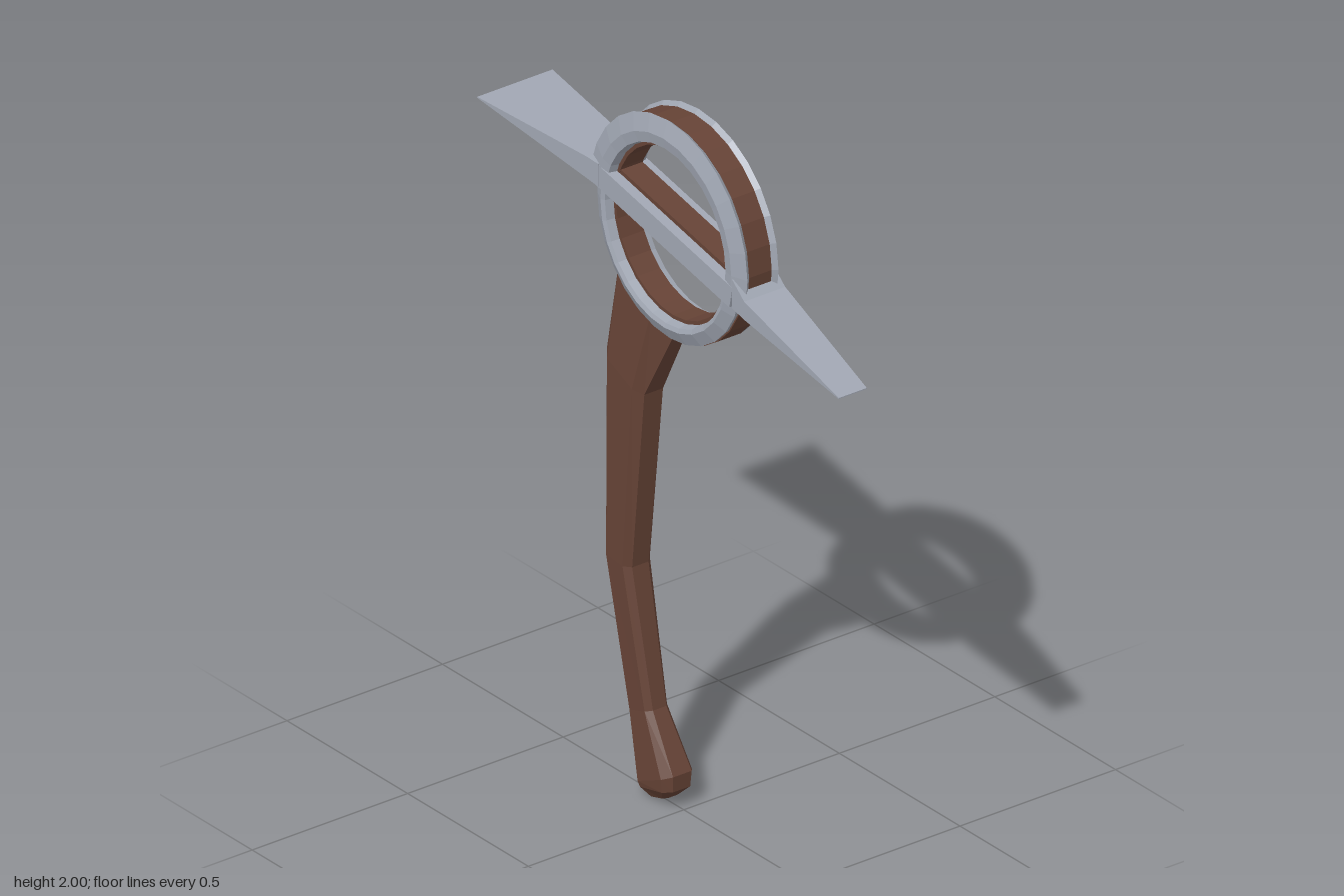
import * as THREE from 'three';

const CY = 1.67;                        // ring centre height
const TILT = -Math.atan2(0.305, 1.4);   // slope of crossbar and blades

// Facet a geometry so every face is flat
function flat(geo) {
  const g = geo.index ? geo.toNonIndexed() : geo;
  g.computeVertexNormals();
  return g;
}

// Skin a list of equal-length point loops and cap both ends
function loft(loops) {
  const n = loops[0].length, pos = loops.flat(2), idx = [];
  for (let s = 0; s < loops.length - 1; s++) {
    for (let i = 0; i < n; i++) {
      const a = s * n + i, b = s * n + (i + 1) % n, c = b + n, d = a + n;
      idx.push(a, d, c, a, c, b);
    }
  }
  const e = (loops.length - 1) * n;
  for (let i = 1; i < n - 1; i++) idx.push(0, i, i + 1, e, e + i + 1, e + i);
  const g = new THREE.BufferGeometry();
  g.setAttribute('position', new THREE.Float32BufferAttribute(pos, 3));
  g.setIndex(idx);
  return flat(g);
}

// Half ring around z from a closed (radius, z) profile, starting at an angle
function halfRing(profile, start) {
  const pts = [...profile, profile[0]].map(([r, z]) => new THREE.Vector2(r, z));
  const g = new THREE.LatheGeometry(pts, 14, start + Math.PI / 2, Math.PI);
  g.rotateX(Math.PI / 2);
  g.translate(0, CY, 0);
  return flat(g);
}

// Blade loop at x: flat top and bottom edges of half width w
function bladeLoop(x, top, bottom, w) {
  const k = Math.sign(x) * w;
  return [[x, top, k], [x, top, -k], [x, bottom, -k], [x, bottom, k]];
}

// Handle loop through four points across the width, chamfered at the sides
function handleLoop(pts, d) {
  const depth = [0.6 * d, d, d, 0.6 * d];
  const front = pts.map(([x, y], i) => [x, y, depth[i]]);
  return [...front, ...front.map(([x, y, z]) => [x, y, -z]).reverse()];
}

function handleSection(lx, ly, rx, ry, d) {
  const pts = [0, 0.17, 0.83, 1].map(t => [lx + (rx - lx) * t, ly + (ry - ly) * t]);
  return handleLoop(pts, d);
}

export function createModel() {
  const group = new THREE.Group();
  const wood = new THREE.MeshStandardMaterial({ color: 0x664336 });
  wood.name = 'brown wood';
  const steel = new THREE.MeshStandardMaterial({ color: 0xa0a6b2 });
  steel.name = 'grey steel';
  const add = (name, geo, mat) => {
    const m = new THREE.Mesh(geo, mat);
    m.name = name;
    group.add(m);
    return m;
  };

  // Handle: its top follows the underside of the ring
  const arc = [213, 232, 251, 270].map(deg => {
    const a = THREE.MathUtils.degToRad(deg);
    return [0.28 * Math.cos(a), CY + 0.28 * Math.sin(a)];
  });
  add('handle', loft([
    handleLoop(arc, 0.035),
    handleSection(-0.28, 1.22, -0.125, 1.15, 0.05),
    handleSection(-0.283, 0.64, -0.18, 0.63, 0.044),
    handleSection(-0.195, 0.22, -0.1, 0.25, 0.036),
    handleSection(-0.152, 0.035, -0.006, 0.1, 0.05),
    handleSection(-0.145, 0.025, -0.009, 0.055, 0.046),
    handleSection(-0.115, 0.0, -0.045, 0.02, 0.025),
  ]), wood);

  // Wooden core of the ring, wider in the upper half
  const core = r => [[0.235, -0.036], [r, -0.036], [r, 0.036], [0.235, 0.036]];
  add('upperCore', halfRing(core(0.318), TILT), wood);
  add('lowerCore', halfRing(core(0.3), TILT + Math.PI), wood);

  // Bevelled steel rims on both faces
  const upper = [[0.245, 0.035], [0.316, 0.035], [0.328, 0.05], [0.28, 0.065], [0.25, 0.06]];
  const lower = [[0.245, 0.035], [0.296, 0.035], [0.298, 0.047], [0.262, 0.065], [0.25, 0.06]];
  const mirror = p => p.map(([r, z]) => [r, -z]).reverse();
  add('upperRimFront', halfRing(upper, TILT), steel);
  add('upperRimBack', halfRing(mirror(upper), TILT), steel);
  add('lowerRimFront', halfRing(lower, TILT + Math.PI), steel);
  add('lowerRimBack', halfRing(mirror(lower), TILT + Math.PI), steel);

  // Crossbar: wooden core with a steel strip on each face
  const bar = (name, w, h, d, z, mat) => {
    const m = add(name, new THREE.BoxGeometry(w, h, d), mat);
    m.position.set(0, CY, z);
    m.rotation.z = TILT;
  };
  bar('crossbarCore', 0.5, 0.086, 0.07, 0, wood);
  bar('crossbarFront', 0.57, 0.062, 0.03, 0.05, steel);
  bar('crossbarBack', 0.57, 0.062, 0.03, -0.05, steel);

  // Blades: wedges thinning to a wide edge
  add('rightBlade', loft([
    bladeLoop(-0.27, 1.765, 1.7, 0.066),
    bladeLoop(-0.31, 1.77, 1.708, 0.07),
    bladeLoop(-0.7, 1.796, 1.793, 0.121),
  ]), steel);
  add('leftBlade', loft([
    bladeLoop(0.285, 1.665, 1.582, 0.066),
    bladeLoop(0.335, 1.622, 1.57, 0.066),
    bladeLoop(0.7, 1.491, 1.488, 0.045),
  ]), steel);

  return group;
}
